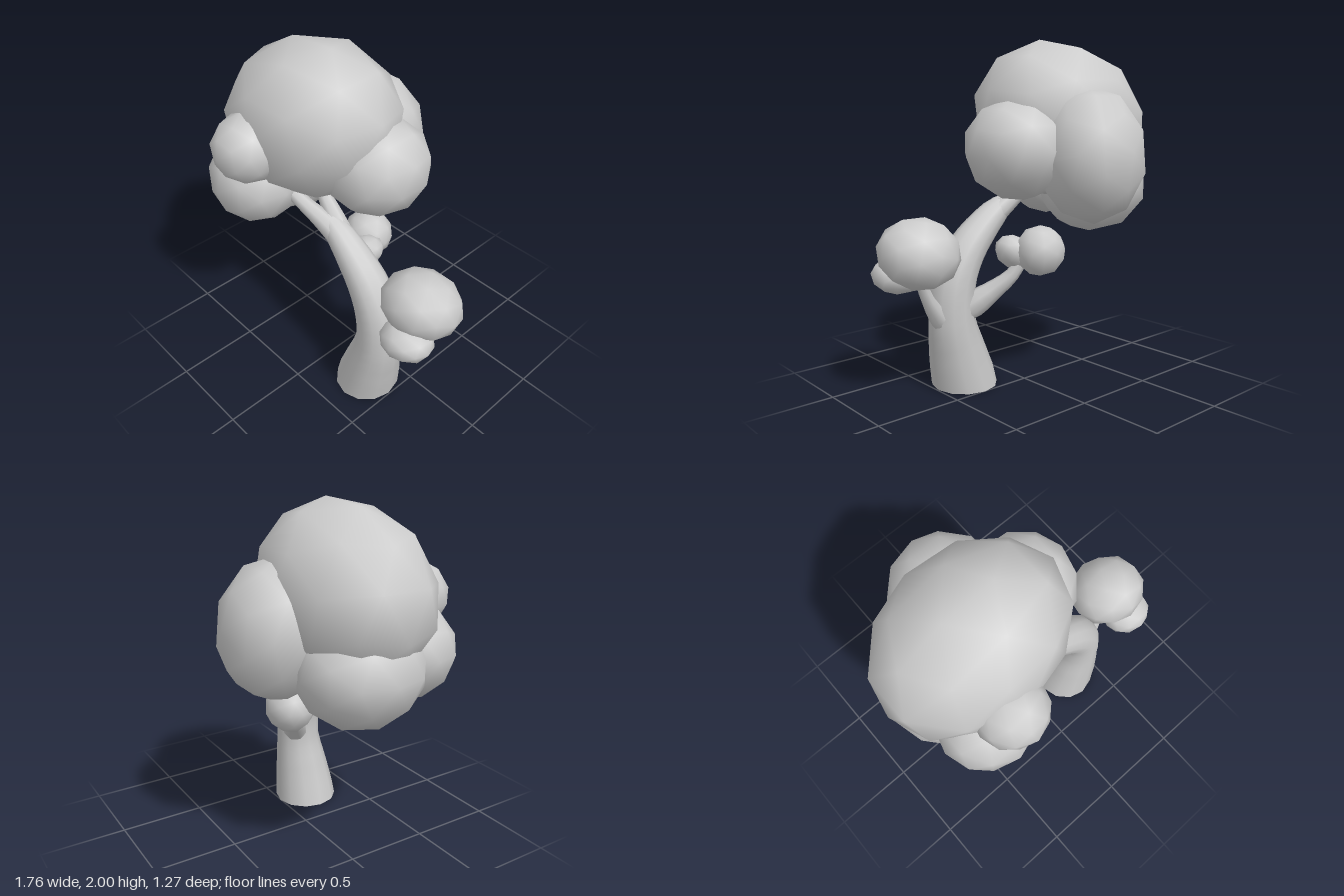
import * as THREE from 'three';

const material = new THREE.MeshStandardMaterial({ color: 0xcccccc });

// Low-poly leaf ball with smooth normals; roll is about z, pitch about x
function foliage(name, [x, y, z], [rx, ry, rz], roll = 0, pitch = 0) {
  const mesh = new THREE.Mesh(new THREE.IcosahedronGeometry(1, 1), material);
  mesh.name = name;
  mesh.position.set(x, y, z);
  mesh.scale.set(rx, ry, rz);
  mesh.rotation.set(pitch, 0, roll);
  return mesh;
}

// Tapering limb through points [x, y, z, radius]
function limb(name, points, steps, sides, onGround = false) {
  const curve = new THREE.CatmullRomCurve3(points.map(p => new THREE.Vector3(p[0], p[1], p[2])));
  const geometry = new THREE.TubeGeometry(curve, steps, 1, sides);
  const pos = geometry.attributes.position;
  const v = new THREE.Vector3();
  for (let i = 0; i <= steps; i++) {
    const u = i / steps;
    const t = curve.getUtoTmapping(u) * (points.length - 1);
    const k = Math.min(Math.floor(t), points.length - 2);
    const radius = THREE.MathUtils.lerp(points[k][3], points[k + 1][3], t - k);
    const center = curve.getPointAt(u);
    for (let j = 0; j <= sides; j++) {
      const n = i * (sides + 1) + j;
      v.fromBufferAttribute(pos, n).sub(center).multiplyScalar(radius).add(center);
      if (onGround && i === 0) v.y = 0;
      pos.setXYZ(n, v.x, v.y, v.z);
    }
  }
  geometry.computeBoundingSphere();
  const mesh = new THREE.Mesh(geometry, material);
  mesh.name = name;
  return mesh;
}

export function createModel() {
  const tree = new THREE.Group();
  tree.name = 'tree';

  // Leaning trunk and its flat underside
  tree.add(limb('trunk', [
    [0.305, 0, 0.19, 0.195], [0.355, 0.2, 0.19, 0.168], [0.393, 0.4, 0.187, 0.135],
    [0.378, 0.62, 0.185, 0.13], [0.3, 0.78, 0.185, 0.118], [0.18, 0.91, 0.185, 0.1],
    [0.05, 1.015, 0.185, 0.078], [-0.04, 1.065, 0.185, 0.045],
  ], 18, 12, true));
  const base = new THREE.Mesh(new THREE.CircleGeometry(0.193, 12), material);
  base.name = 'trunkUnderside';
  base.rotation.x = Math.PI / 2;
  base.position.set(0.305, 0.001, 0.19);
  tree.add(base);

  // Fork under the crown, then the two low side branches
  tree.add(
    limb('frontFork', [[0.12, 0.96, 0.19, 0.07], [-0.03, 1.05, 0.21, 0.06],
      [-0.16, 1.11, 0.235, 0.046], [-0.32, 1.18, 0.255, 0.04]], 8, 8),
    limb('backFork', [[0.12, 0.96, 0.18, 0.07], [-0.02, 1.07, 0.15, 0.056],
      [-0.12, 1.15, 0.13, 0.042], [-0.2, 1.27, 0.11, 0.035]], 8, 8),
    limb('leftBranch', [[0.38, 0.3, 0.18, 0.05], [0.5, 0.44, 0.165, 0.06],
      [0.58, 0.56, 0.155, 0.037], [0.65, 0.72, 0.14, 0.03]], 8, 8),
    limb('backBranch', [[0.4, 0.38, 0.2, 0.04], [0.29, 0.5, 0.1, 0.08],
      [0.2, 0.575, 0.04, 0.056], [0.12, 0.655, -0.02, 0.042], [0.06, 0.76, -0.06, 0.034]], 10, 8),
  );

  // Main crown and the leaf balls around it
  tree.add(
    foliage('crown', [-0.32, 1.54, 0.03], [0.58, 0.46, 0.455], 0.3),
    foliage('leftFoliage', [0.11, 1.38, -0.06], [0.305, 0.285, 0.305], 0.4),
    foliage('backFoliage', [-0.21, 1.35, -0.32], [0.32, 0.39, 0.32], 0, 0.1),
    foliage('rightFoliage', [-0.54, 1.16, -0.01], [0.32, 0.315, 0.37]),
    foliage('frontFoliage', [-0.485, 1.205, 0.33], [0.28, 0.275, 0.275]),
    foliage('frontSmallFoliage', [-0.395, 1.475, 0.425], [0.205, 0.2, 0.21], 0.2),
  );

  // Leaf balls on the side branches
  tree.add(
    foliage('leftBranchFoliage', [0.65, 0.835, 0.125], [0.235, 0.19, 0.23], 0, -0.4),
    foliage('leftBranchSmallFoliage', [0.69, 0.7, 0.275], [0.155, 0.105, 0.145], 0, -0.15),
    foliage('backBranchFoliage', [-0.015, 0.8, -0.12], [0.15, 0.148, 0.145]),
    foliage('backBranchSmallFoliage', [0.08, 0.785, 0], [0.125, 0.095, 0.11], 0.6),
  );
  return tree;
}
